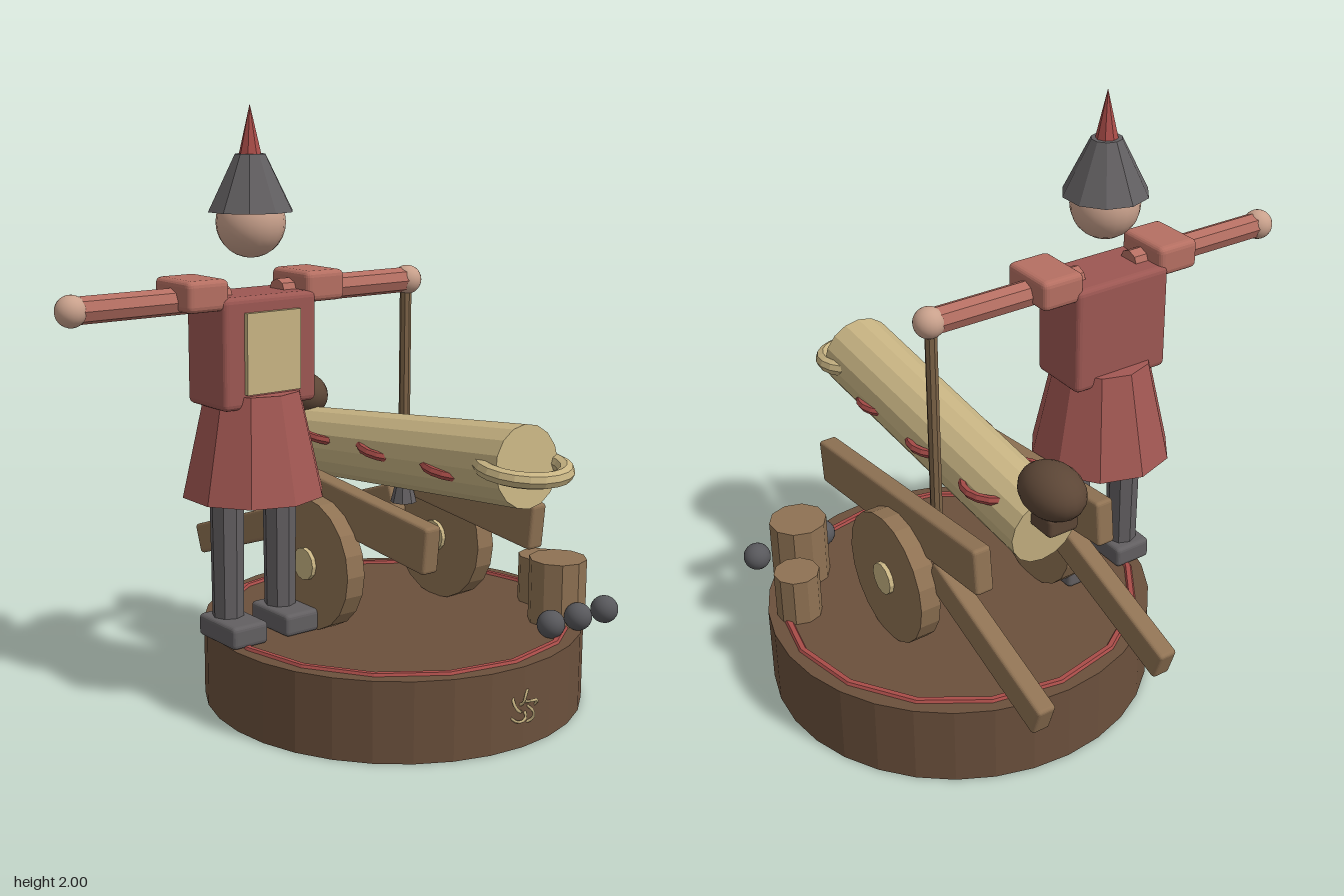
import * as THREE from 'three';
import { RoundedBoxGeometry } from 'three/addons/geometries/RoundedBoxGeometry.js';

const COLORS = {
  earth: 0x6b503c, wood: 0x8f7253, pole: 0x7d6448, bronze: 0xc8b483, trim: 0xa84c48,
  coat: 0x9c5752, skirt: 0xa35853, sleeve: 0xb56f62, skin: 0xc9a18c,
  steel: 0x625f61, iron: 0x58585c, leather: 0x5c4636,
};

export function createModel() {
  const model = new THREE.Group();

  function add(name, geometry, color, [x, y, z], flat = true, parent = model) {
    const material = new THREE.MeshStandardMaterial({ color: COLORS[color], flatShading: flat });
    const mesh = new THREE.Mesh(geometry, material);
    mesh.name = name;
    mesh.position.set(x, y, z);
    parent.add(mesh);
    return mesh;
  }
  const group = (name) => {
    const g = new THREE.Group();
    g.name = name;
    model.add(g);
    return g;
  };
  const cyl = (top, bottom, height, sides) => new THREE.CylinderGeometry(top, bottom, height, sides);
  const box = (w, h, d, r = 0.015) => new RoundedBoxGeometry(w, h, d, 2, r);
  const ball = (r) => new THREE.SphereGeometry(r, 20, 14);

  // Round base with an inlaid ring and a small knot ornament
  const base = group('base');
  add('plinth', cyl(0.65, 0.65, 0.27, 32), 'earth', [0.26, 0.135, 0.035], true, base);
  add('plinthRing', new THREE.TorusGeometry(0.6, 0.016, 6, 16), 'trim', [0.26, 0.265, 0.035], true, base)
    .rotation.x = Math.PI / 2;
  add('knotOrnament', new THREE.TorusKnotGeometry(0.037, 0.005, 64, 5, 2, 5), 'bronze', [0.26, 0.135, 0.682], false, base);

  // Gunner
  const gunner = group('gunner');
  const gx = -0.22, gz = -0.11;
  for (const s of [-1, 1]) {
    const side = s > 0 ? 'left' : 'right';
    add(side + 'Leg', cyl(0.057, 0.052, 0.5, 8), 'steel', [gx + s * 0.105, 0.54, gz], true, gunner);
    add(side + 'Boot', box(0.138, 0.075, 0.21), 'steel', [gx + s * 0.105, 0.308, -0.08], true, gunner);
    add(side + 'Shoulder', box(0.153, 0.1, 0.205, 0.02), 'sleeve', [gx + s * 0.225, 1.42, gz], true, gunner);
    add(side + 'Arm', cyl(0.043, 0.043, 0.55, 8), 'sleeve', [gx + s * 0.375, 1.4, gz], true, gunner)
      .rotation.z = Math.PI / 2;
    add(side + 'Hand', ball(0.05), 'skin', [gx + s * 0.65, 1.4, gz], false, gunner);
  }
  add('skirt', cyl(0.16, 0.238, 0.345, 10), 'skirt', [gx, 0.92, gz], true, gunner);
  add('torso', box(0.36, 0.36, 0.22, 0.02), 'coat', [gx, 1.23, gz], true, gunner);
  add('chestPanel', new THREE.BoxGeometry(0.207, 0.26, 0.03), 'bronze', [gx, 1.23, 0.002], true, gunner);
  add('head', ball(0.112), 'skin', [gx, 1.63, gz], false, gunner);
  add('helmet', cyl(0.05, 0.14, 0.18, 10), 'steel', [gx, 1.755, gz], true, gunner);
  add('helmetSpike', new THREE.ConeGeometry(0.036, 0.155, 8), 'trim', [gx, 1.922, gz], true, gunner);

  // Staff held in the left hand
  const staff = group('staff');
  add('staffPole', cyl(0.02, 0.02, 0.7, 8), 'pole', [0.425, 1.05, gz], true, staff);
  add('staffTip', cyl(0.02, 0.046, 0.105, 8), 'steel', [0.425, 0.663, gz], true, staff);

  // Cannon barrel with its flat rings
  const cannon = group('cannon');
  const cx = 0.26, tilt = 0.1;
  add('barrel', cyl(0.132, 0.12, 1.15, 16), 'bronze', [cx, 0.855, 0.1], true, cannon)
    .rotation.x = Math.PI / 2 - tilt;
  add('muzzleRing', new THREE.TorusGeometry(0.132, 0.027, 8, 20), 'bronze', [cx, 0.908, 0.655], true, cannon)
    .rotation.x = Math.PI / 2 + tilt;
  for (const z of [0.39, 0.065, -0.26]) {
    add('barrelBand', new THREE.TorusGeometry(0.135, 0.015, 6, 20), 'trim', [cx, 0.862, z], true, cannon)
      .rotation.x = Math.PI / 2 + tilt;
  }
  add('breechKnob', ball(1), 'leather', [cx, 0.957, -0.51], false, cannon).scale.set(0.095, 0.085, 0.125);
  add('breechBlock', box(0.11, 0.07, 0.13), 'leather', [cx, 0.868, -0.51], true, cannon);

  // Carriage: cheeks, trails, wheels and hubs on both sides
  const carriage = group('carriage');
  for (const s of [-1, 1]) {
    const side = s > 0 ? 'left' : 'right';
    const x = 0.262 + s * 0.228;
    add(side + 'Cheek', box(0.065, 0.155, 0.985, 0.012), 'wood', [x, 0.69, 0.005], true, carriage)
      .rotation.x = tilt;
    add(side + 'Trail', box(0.065, 0.11, 0.62, 0.012), 'wood', [x, 0.49, -0.51], true, carriage)
      .rotation.x = -0.34;
    add(side + 'Wheel', cyl(0.225, 0.225, 0.07, 20), 'wood', [0.262 + s * 0.285, 0.49, -0.037], true, carriage)
      .rotation.z = Math.PI / 2;
    add(side + 'Hub', cyl(0.055, 0.055, 0.1, 12), 'bronze', [0.262 + s * 0.285, 0.49, -0.037], true, carriage)
      .rotation.z = Math.PI / 2;
  }

  // Powder kegs and shot
  const supplies = group('supplies');
  add('largeKeg', cyl(0.098, 0.098, 0.22, 10), 'wood', [0.66, 0.38, 0.425], true, supplies);
  add('smallKeg', cyl(0.076, 0.076, 0.165, 10), 'wood', [0.77, 0.352, 0.23], true, supplies);
  for (let i = 0; i < 3; i++) {
    add('cannonball', ball(0.047), 'iron', [0.518 + i * 0.127, 0.315, 0.54], false, supplies);
  }

  return model;
}
